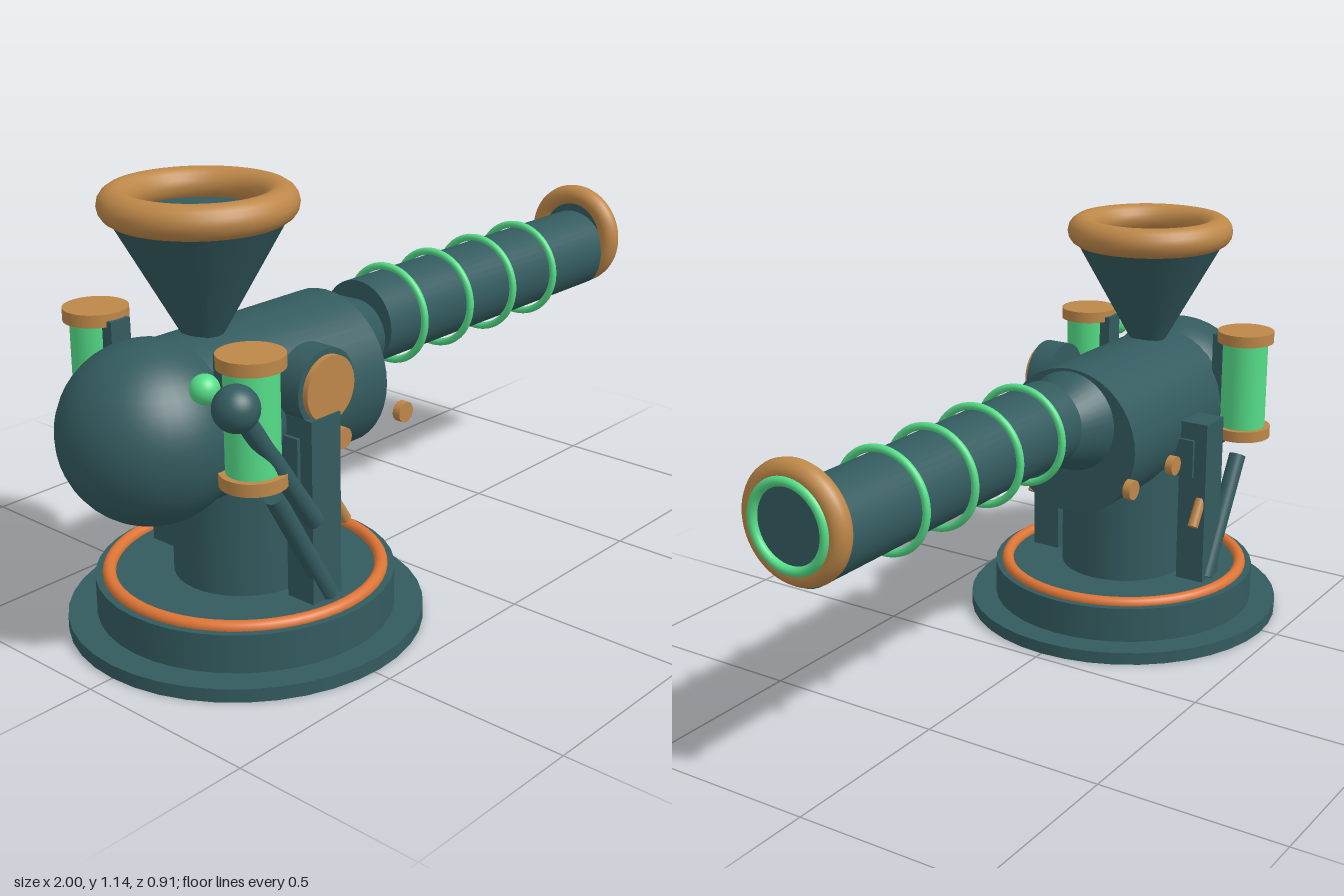
import * as THREE from 'three';

export function createModel() {
  const root = new THREE.Group();
  const mat = (name, color) => new THREE.MeshStandardMaterial({ name, color });
  const teal = mat('dark teal metal', 0x335b5f);
  const bronze = mat('bronze', 0xbd8748);
  const orange = mat('orange', 0xdc7435);
  const green = mat('green glow', 0x55dd88);

  const add = (name, geo, material, x, y, z) => {
    const m = new THREE.Mesh(geo, material);
    m.name = name;
    m.position.set(x, y, z);
    root.add(m);
    return m;
  };
  const cyl = (rTop, rBottom, h) => new THREE.CylinderGeometry(rTop, rBottom, h, 40);
  const xCyl = (rEnd, rStart, h) => cyl(rEnd, rStart, h).rotateZ(-Math.PI / 2);
  const zCyl = (r, h) => cyl(r, r, h).rotateX(Math.PI / 2);
  const ring = (R, t) => new THREE.TorusGeometry(R, t, 16, 56);
  const ball = (r) => new THREE.SphereGeometry(r, 36, 24);
  const box = (w, h, d) => new THREE.BoxGeometry(w, h, d);
  // rod between two points in a plane of constant z
  const rod = (name, x1, y1, x2, y2, z, r, material) => {
    const m = add(name, cyl(r, r, Math.hypot(x2 - x1, y2 - y1)), material, (x1 + x2) / 2, (y1 + y2) / 2, z);
    m.rotation.z = Math.atan2(y2 - y1, x2 - x1) - Math.PI / 2;
  };

  // turntable
  const cx = -0.48;
  add('basePlate', cyl(0.453, 0.453, 0.035), teal, cx, 0.0175, 0);
  add('turntable', cyl(0.38, 0.38, 0.1), teal, cx, 0.085, 0);
  add('turntableRing', ring(0.345, 0.017).rotateX(Math.PI / 2), orange, cx, 0.138, 0);
  add('pedestal', cyl(0.182, 0.182, 0.4), teal, cx, 0.33, 0);

  // body with a rounded back
  add('body', xCyl(0.207, 0.207, 0.61), teal, -0.475, 0.587, 0);
  add('rearDome', ball(0.222), teal, -0.778, 0.587, 0);

  // hopper
  add('hopper', cyl(0.212, 0.045, 0.3), teal, -0.6, 0.925, 0);
  add('hopperRim', ring(0.194, 0.042).rotateX(Math.PI / 2), bronze, -0.6, 1.103, 0);

  // barrel
  add('barrelNeck', xCyl(0.09, 0.143, 0.14), teal, -0.105, 0.645, 0);
  add('barrel', xCyl(0.115, 0.115, 1), teal, 0.455, 0.674, 0);
  for (const x of [0.075, 0.27, 0.465, 0.66]) {
    add('barrelCoil', ring(0.129, 0.01).rotateY(Math.PI / 2), green, x, 0.672, 0);
  }
  add('muzzleRim', ring(0.12, 0.03).rotateY(Math.PI / 2), bronze, 0.96, 0.715, 0);
  add('muzzleGlow', ring(0.104, 0.012).rotateY(Math.PI / 2), green, 0.988, 0.715, 0);
  add('muzzleFace', xCyl(0.1, 0.1, 0.04), teal, 0.963, 0.715, 0);

  // parts on both sides
  for (const s of [1, -1]) {
    add('sidePost', box(0.1, 0.48, 0.085), teal, -0.485, 0.37, s * 0.245);
    add('postBracket', box(0.12, 0.11, 0.07), teal, -0.485, 0.505, s * 0.215);
    rod('postBrace', -0.655, 0.46, -0.47, 0.14, s * 0.278, 0.024, teal);
    rod('postPin', -0.445, 0.385, -0.4, 0.315, s * 0.27, 0.015, bronze);

    add('canister', cyl(0.065, 0.065, 0.27), green, -0.705, 0.665, s * 0.265);
    add('canisterTopCap', cyl(0.081, 0.081, 0.032), bronze, -0.705, 0.806, s * 0.265);
    add('canisterBottomCap', cyl(0.081, 0.081, 0.032), bronze, -0.705, 0.522, s * 0.265);
    add('canisterMount', box(0.06, 0.3, 0.035), teal, -0.705, 0.655, s * 0.192);

    for (const x of [-0.6, -0.36, -0.125]) {
      add('bolt', zCyl(0.027, 0.022), bronze, x, 0.503, s * 0.222);
    }
  }

  // hub cap on the front side
  add('hub', zCyl(0.097, 0.07), teal, -0.46, 0.672, 0.232);
  add('hubCap', zCyl(0.082, 0.016), bronze, -0.46, 0.672, 0.274);

  // control lever and indicator lamp
  rod('lever', -0.8, 0.73, -0.555, 0.375, 0.312, 0.024, teal);
  add('leverKnob', ball(0.055), teal, -0.8, 0.728, 0.312);
  add('lamp', ball(0.035), green, -0.81, 0.755, 0.225);

  return root;
}
